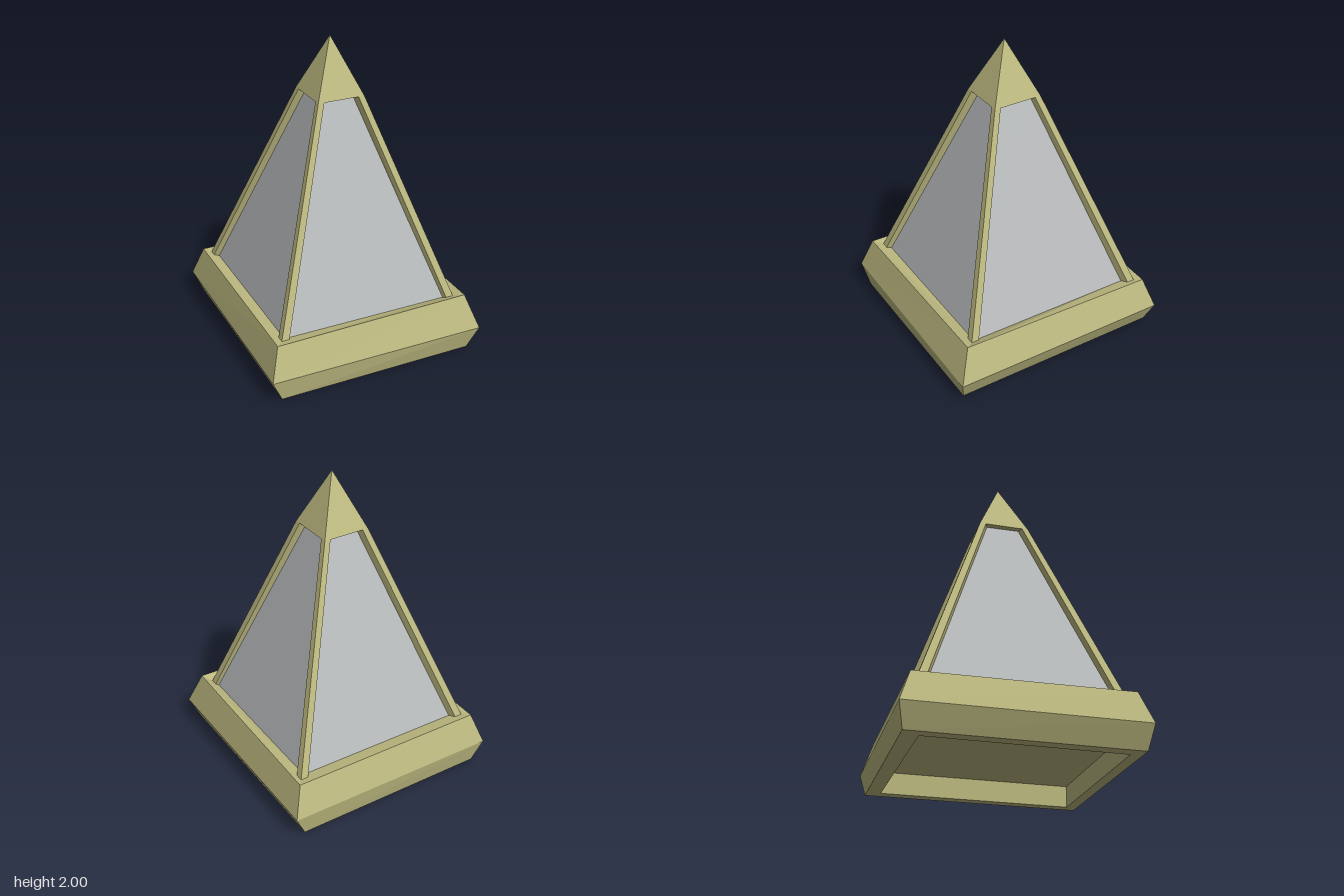
import * as THREE from 'three';

// Skin over a stack of rings, each listed counter-clockwise seen from above
function loft(name, rings, material, { closed = true, floor = false } = {}) {
  const pos = [];
  const quad = (a, b, c, d) => pos.push(...a, ...b, ...c, ...a, ...c, ...d);
  const n = rings[0].length;
  if (floor) quad(...[...rings[0]].reverse());
  for (let k = 0; k < rings.length - 1; k++) {
    for (let i = 0; i < (closed ? n : n - 1); i++) {
      const j = (i + 1) % n;
      quad(rings[k][i], rings[k][j], rings[k + 1][j], rings[k + 1][i]);
    }
  }
  const geo = new THREE.BufferGeometry();
  geo.setAttribute('position', new THREE.Float32BufferAttribute(pos, 3));
  geo.computeVertexNormals();
  const mesh = new THREE.Mesh(geo, material);
  mesh.name = name;
  return mesh;
}

// Ring at one height from [x, z] corners
const level = (y, corners) => corners.map(([x, z]) => [x, y, z]);

// Outer section of a corner bar: two faces of width w and splayed sides of depth d and splay s
function barSection([x, z], w, d, s) {
  const sx = Math.sign(x), sz = Math.sign(z);
  const points = [[w + s, d], [w, 0], [0, 0], [0, w], [d, w + s]]
    .map(([a, b]) => [x - sx * a, z - sz * b]);
  return sx * sz > 0 ? points : points.reverse();
}

export function createModel() {
  const group = new THREE.Group();
  const olive = new THREE.MeshStandardMaterial({ color: 0xbdb980, flatShading: true });
  olive.name = 'olive frame';
  const grey = new THREE.MeshStandardMaterial({ color: 0xb9bcbd, flatShading: true });
  grey.name = 'grey glass';

  // Slightly skewed plinth with a recessed underside and a ledge on top
  const opening = [[-0.575, 0.625], [0.575, 0.635], [0.58, -0.61], [-0.575, -0.605]];
  const bottom = [[-0.66, 0.70], [0.645, 0.705], [0.655, -0.70], [-0.65, -0.71]];
  const belt = [[-0.728, 0.727], [0.712, 0.744], [0.726, -0.728], [-0.714, -0.745]];
  const rim = [[-0.663, 0.355, 0.657], [0.637, 0.37, 0.661], [0.659, 0.35, -0.661], [-0.647, 0.35, -0.677]];
  const ledge = [[-0.583, 0.57], [0.568, 0.578], [0.58, -0.573], [-0.573, -0.587]];
  group.add(loft('plinth', [
    level(0.14, opening), level(0, opening), level(0, bottom),
    level(0.148, belt), rim, level(0.335, ledge),
  ], olive, { floor: true }));

  // Four sloping panes
  const paneTop = [[-0.117, 0.115], [0.113, 0.116], [0.117, -0.115], [-0.113, -0.116]];
  group.add(loft('panes', [level(0.335, ledge), level(1.638, paneTop)], grey));

  // Corner bars tapering up to the cap
  const foot = [[-0.616, 0.604], [0.592, 0.608], [0.629, -0.62], [-0.609, -0.633]];
  const head = [[-0.156, 0.163], [0.156, 0.163], [0.156, -0.163], [-0.156, -0.163]];
  const names = ['frontRightBar', 'frontLeftBar', 'backLeftBar', 'backRightBar'];
  names.forEach((name, i) => {
    group.add(loft(name, [
      level(0.33, barSection(foot[i], 0.05, 0.06, 0.03)),
      level(1.638, barSection(head[i], 0.04, 0.06, 0.025)),
    ], olive, { closed: false }));
  });

  // Pointed cap with an overhanging lip
  const tip = head.map(([x, z]) => [x * 0.001, z * 0.001]);
  group.add(loft('cap', [level(1.638, paneTop), level(1.638, head), level(2, tip)], olive));
  return group;
}
